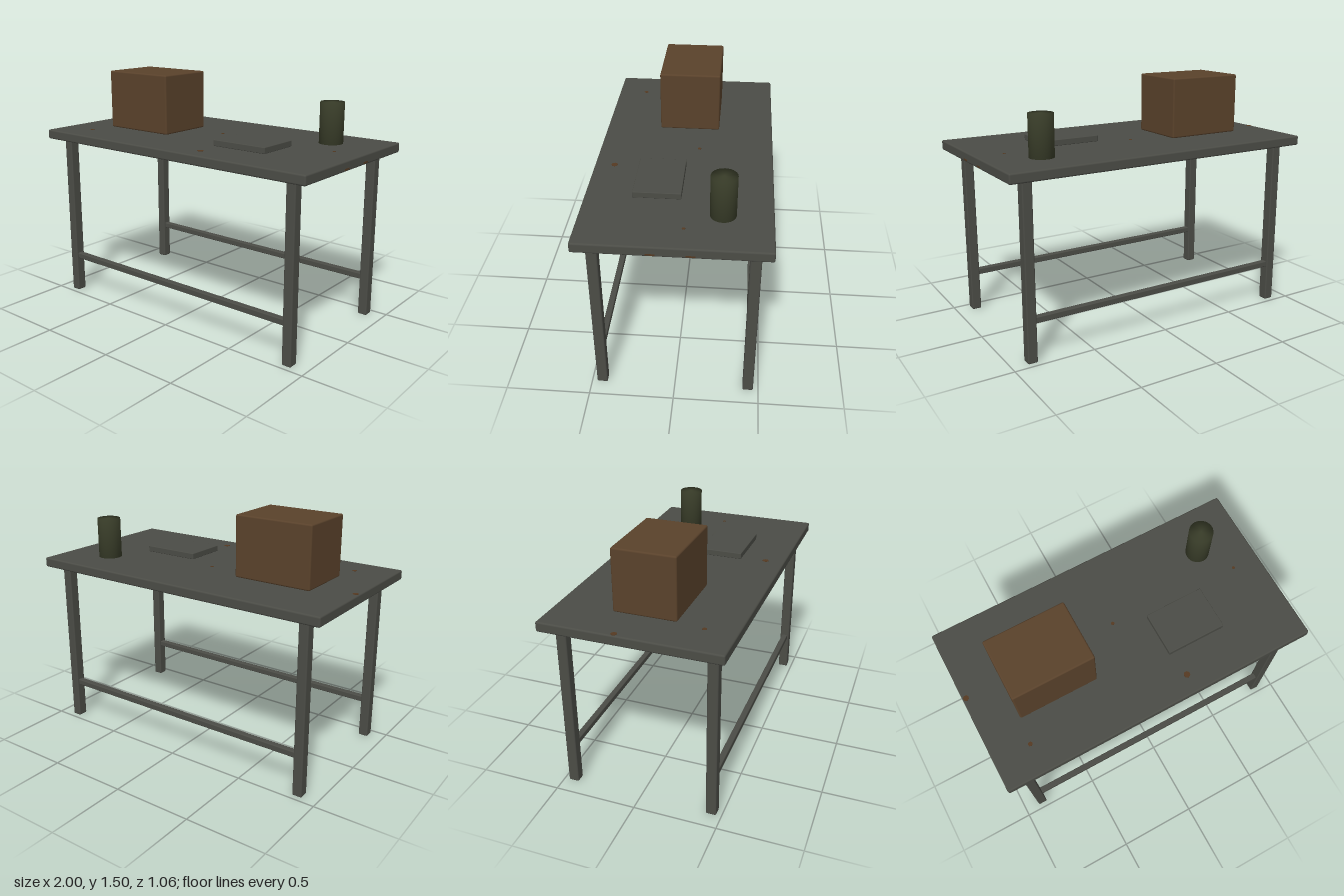
import * as THREE from 'three';
import { RoundedBoxGeometry } from 'three/addons/geometries/RoundedBoxGeometry.js';

function makeMaterial(name, color) {
  const m = new THREE.MeshStandardMaterial({ color });
  m.name = name;
  return m;
}

export function createModel() {
  const model = new THREE.Group();
  model.name = 'workTable';

  const steel = makeMaterial('dull grey steel', 0x4b4c46);
  const cardboard = makeMaterial('brown crate', 0x5a422b);
  const olive = makeMaterial('dark olive', 0x393d29);
  const rust = makeMaterial('rust', 0x553a22);

  const add = (name, geometry, material, x, y, z) => {
    const mesh = new THREE.Mesh(geometry, material);
    mesh.name = name;
    mesh.position.set(x, y, z);
    model.add(mesh);
    return mesh;
  };
  // Box with softened edges, given by its size and centre
  const block = (name, material, [w, h, d], [x, y, z], bevel) =>
    add(name, new RoundedBoxGeometry(w, h, d, 2, bevel), material, x, y, z);

  // Table top
  block('tableTop', steel, [2, 0.06, 1.06], [0, 1.09, 0], 0.01);

  // Legs and the long rails between them
  for (const [zName, sz] of [['front', 1], ['back', -1]]) {
    for (const [xName, sx] of [['Left', 1], ['Right', -1]]) {
      block(`${zName}${xName}Leg`, steel, [0.06, 1.07, 0.063], [sx * 0.875, 0.535, sz * 0.4375], 0.008);
    }
    block(`${zName}Rail`, steel, [1.72, 0.038, 0.038], [0, 0.25, sz * 0.4375], 0.006);
  }

  // Things standing on the table
  block('crate', cardboard, [0.497, 0.375, 0.375], [-0.503, 1.3075, -0.002], 0.01);
  block('book', steel, [0.37, 0.038, 0.275], [0.374, 1.139, 0.122], 0.004);

  // Canister with softly shaded ends
  const profile = [[0, 0], [0.073, 0], [0.073, 0.25], [0, 0.25]].map(([r, y]) => new THREE.Vector2(r, y));
  add('canister', new THREE.LatheGeometry(profile, 28), olive, 0.685, 1.12, -0.253);

  // Small rust spots: x, z, radius on the top
  const spots = [[-0.977, -0.077, 0.018], [-0.008, -0.08, 0.011], [0.825, -0.05, 0.01],
    [-0.77, 0.345, 0.014], [0.22, 0.413, 0.02]];
  for (const [x, z, r] of spots) {
    add('rustSpot', new THREE.CylinderGeometry(r, r, 0.002, 7), rust, x, 1.1205, z);
  }
  // One spot on the underside
  add('rustSpotBelow', new THREE.CylinderGeometry(0.03, 0.03, 0.002, 8), rust, -0.7, 1.0595, -0.155);

  // Streaks along the lower end edge
  for (const z of [0.11, -0.1]) {
    add('rustStreak', new THREE.BoxGeometry(0.002, 0.01, 0.05), rust, 0.9995, 1.073, z);
  }

  return model;
}
